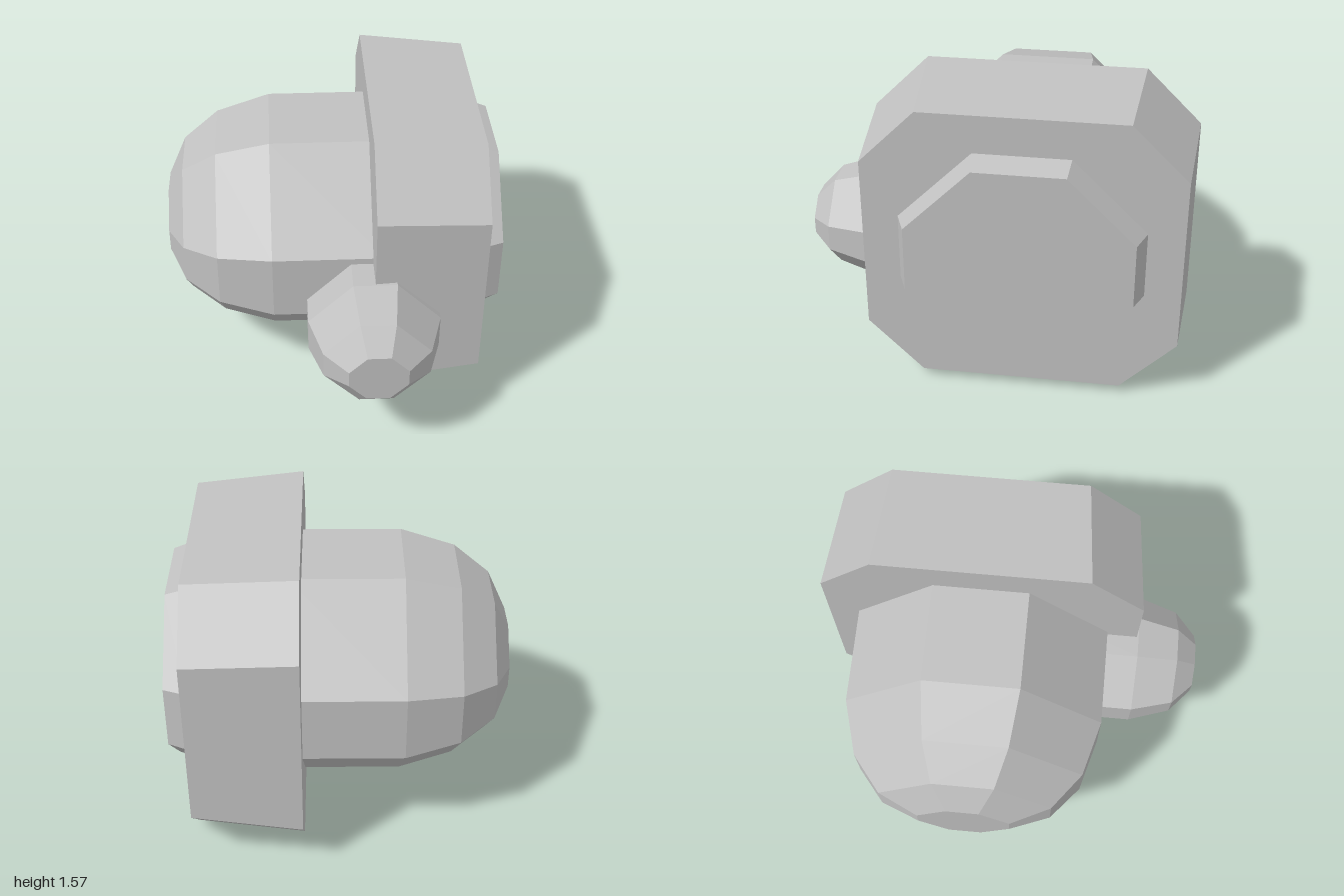
import * as THREE from 'three';

// Chamfered-rectangle section: half width w, half height h, corner cut c, counter-clockwise
const octagon = (w, h, c) => [
  [w, -h + c], [w, h - c], [w - c, h], [-w + c, h],
  [-w, h - c], [-w, -h + c], [-w + c, -h], [w - c, -h],
];

// Skin sections [z, w, h, c] in order of increasing z and cap both ends
function loft(sections) {
  const rings = sections.map(([z, w, h, c]) => octagon(w, h, c).map(([x, y]) => [x, y, z]));
  const pos = [];
  const tri = (a, b, c) => pos.push(...a, ...b, ...c);
  for (let r = 0; r < rings.length - 1; r++) {
    for (let i = 0; i < 8; i++) {
      const j = (i + 1) % 8;
      const [a, b, c, d] = [rings[r][i], rings[r][j], rings[r + 1][j], rings[r + 1][i]];
      tri(a, b, c);
      tri(a, c, d);
    }
  }
  const first = rings[0], last = rings[rings.length - 1];
  for (let i = 1; i < 7; i++) {
    tri(first[0], first[i + 1], first[i]);
    tri(last[0], last[i], last[i + 1]);
  }
  const geo = new THREE.BufferGeometry();
  geo.setAttribute('position', new THREE.Float32BufferAttribute(pos, 3));
  geo.computeVertexNormals();
  return geo;
}

export function createModel() {
  const group = new THREE.Group();
  const grey = new THREE.MeshStandardMaterial({ color: 0xc0c0c0, flatShading: true });
  grey.name = 'light grey';

  const add = (name, geo, x, y, z) => {
    const mesh = new THREE.Mesh(geo, grey);
    mesh.name = name;
    mesh.position.set(x, y, z);
    group.add(mesh);
  };
  // Parts that run along x share one axis
  const addAlongX = (name, sections) => add(name, loft(sections).rotateY(Math.PI / 2), 0, 0.79, -0.17);

  // Rounded housing tapering towards -x
  addAlongX('domeHousing', [
    [-0.87, 0.24, 0.215, 0.155],
    [-0.78, 0.447, 0.395, 0.29],
    [-0.6, 0.593, 0.525, 0.38],
    [-0.32, 0.67, 0.603, 0.425],
    [0.25, 0.67, 0.603, 0.425],
  ]);

  // Large flange plate, slightly tapered
  addAlongX('flangePlate', [
    [0.19, 0.83, 0.785, 0.28],
    [0.75, 0.787, 0.74, 0.28],
  ]);

  // Raised end cap
  addAlongX('endCap', [
    [0.7, 0.607, 0.545, 0.37],
    [0.75, 0.607, 0.545, 0.37],
    [0.865, 0.56, 0.505, 0.335],
  ]);

  // Knob on the front
  add('frontKnob', loft([
    [0.1, 0.335, 0.315, 0.225],
    [0.67, 0.335, 0.315, 0.225],
    [0.89, 0.268, 0.25, 0.18],
    [1.0, 0.148, 0.134, 0.09],
  ]), 0.188, 0.62, 0);

  return group;
}
